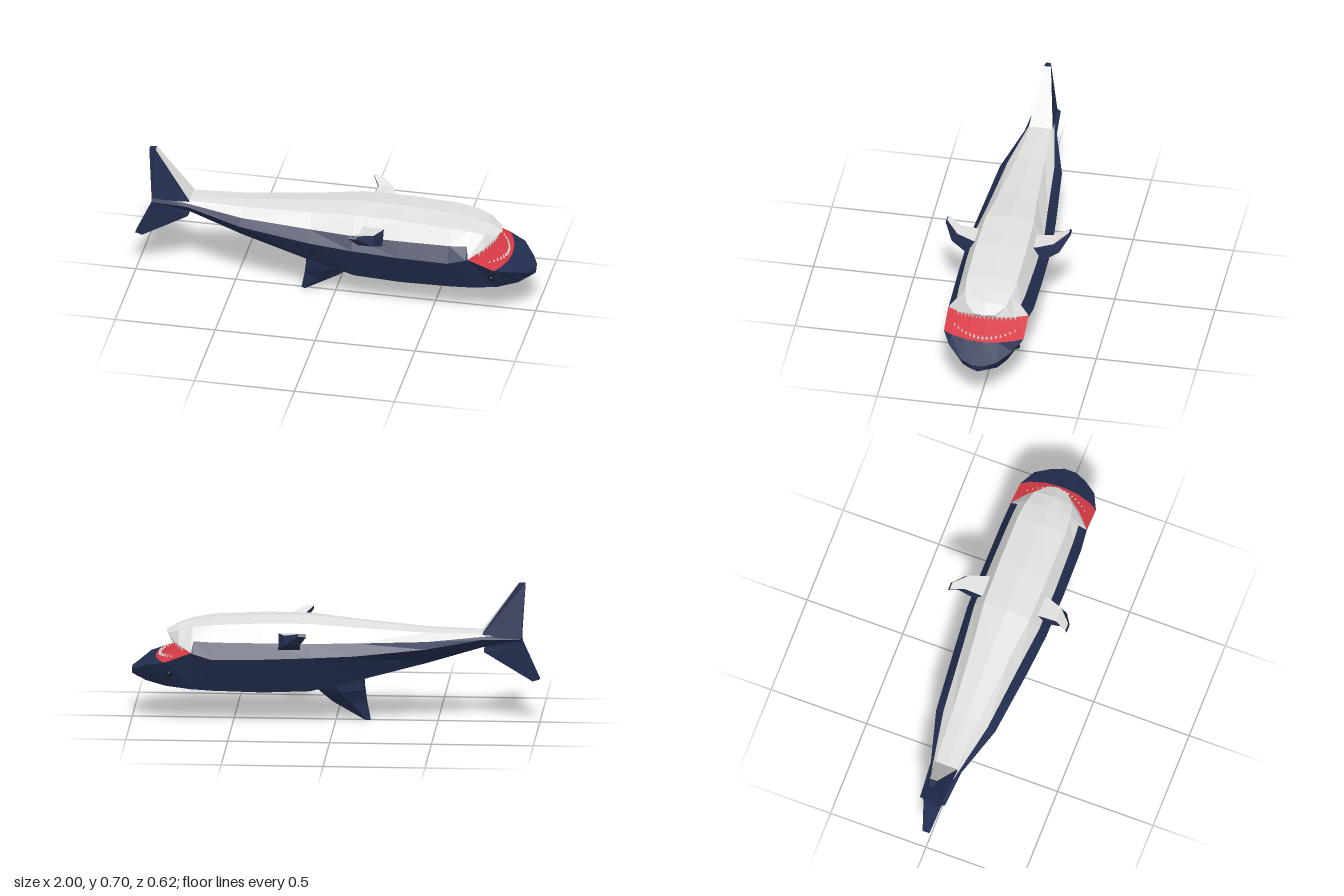
import * as THREE from 'three';

const mat = (name, color) => {
  const m = new THREE.MeshStandardMaterial({ color, flatShading: true, side: THREE.DoubleSide });
  m.name = name;
  return m;
};

// Mirror a half row (+z to the middle) across z = 0
const mirror = (half) => [
  ...half,
  ...half.filter((p) => p[2] !== 0).reverse().map(([x, y, z]) => [x, y, -z]),
];
const flipZ = (rows) => rows.map((r) => r.map(([x, y, z]) => [x, y, -z]));

// Skin rows of points with flat facets; faces point away from `inside`
function loft(rows, { closed = false, caps = false, inside } = {}) {
  const tris = [];
  const n = rows[0].length;
  for (let i = 0; i < rows.length - 1; i++) {
    for (let j = 0; j < (closed ? n : n - 1); j++) {
      const k = (j + 1) % n;
      const a = rows[i][j], b = rows[i][k], c = rows[i + 1][k], d = rows[i + 1][j];
      tris.push([a, b, c], [a, c, d]);
    }
  }
  if (caps) {
    const first = rows[0], last = rows[rows.length - 1];
    for (let j = 1; j < n - 1; j++) {
      tris.push([first[0], first[j + 1], first[j]], [last[0], last[j], last[j + 1]]);
    }
  }
  const all = rows.flat();
  const ref = new THREE.Vector3(...(inside || [0, 1, 2].map((i) => all.reduce((s, p) => s + p[i], 0) / all.length)));
  let sum = 0;
  for (const t of tris) {
    const [a, b, c] = t.map((p) => new THREE.Vector3(...p));
    const normal = b.clone().sub(a).cross(c.clone().sub(a));
    sum += normal.dot(a.add(b).add(c).divideScalar(3).sub(ref));
  }
  if (sum < 0) tris.forEach((t) => t.reverse());
  const geo = new THREE.BufferGeometry();
  geo.setAttribute('position', new THREE.Float32BufferAttribute(tris.flat(2), 3));
  geo.computeVertexNormals();
  return geo;
}

export function createModel() {
  const group = new THREE.Group();
  group.name = 'shark';
  const navy = mat('navy skin', 0x232e50);
  const white = mat('pale skin', 0xe0e0de);
  const red = mat('mouth red', 0xd63a45);
  const black = mat('eye black', 0x0c0f1a);
  const add = (name, geo, material) => {
    const m = new THREE.Mesh(geo, material);
    m.name = name;
    group.add(m);
    return m;
  };

  // Body rings: x, top y, shoulder z/y, widest z/y, lower z/y, bottom y, share of the flank that is pale
  const rings = [
    [-0.91, 0.455, 0.03, 0.452, 0.065, 0.43, 0.03, 0.405, 0.4, 0.1],
    [-0.72, 0.458, 0.055, 0.455, 0.08, 0.43, 0.04, 0.385, 0.375, 0.5],
    [-0.45, 0.468, 0.07, 0.46, 0.155, 0.395, 0.08, 0.31, 0.293, 0.55],
    [-0.1, 0.502, 0.097, 0.487, 0.19, 0.363, 0.11, 0.22, 0.2, 0.55],
    [0.12, 0.524, 0.12, 0.508, 0.208, 0.355, 0.125, 0.17, 0.148, 0.58],
    [0.35, 0.522, 0.125, 0.508, 0.21, 0.345, 0.125, 0.16, 0.13, 0.55],
    [0.6, 0.506, 0.125, 0.495, 0.207, 0.34, 0.125, 0.165, 0.14, 0.5],
    [0.69, 0.492, 0.117, 0.482, 0.2, 0.365, 0.125, 0.17, 0.147, 0.52],
    [0.7, 0.49, 0.115, 0.48, 0.2, 0.37, 0.125, 0.17, 0.147, 1],
  ];
  const pale = [], dark = [];
  for (const [x, top, sz, sy, wz, wy, lz, ly, bot, t] of rings) {
    const edge = [x, sy + (wy - sy) * t, sz + (wz - sz) * t];
    pale.push(mirror([edge, [x, sy, sz], [x, top, 0]]));
    dark.push(mirror([edge, [x, wy, wz], [x, ly, lz], [x, bot, 0]]));
  }
  add('paleBelly', loft(pale, { inside: [0, 0.34, 0] }), white);
  add('darkBack', loft(dark, { inside: [0, 0.4, 0] }), navy);
  add('tailStockEnd', loft([dark[0], dark[0].map(() => [-0.915, 0.43, 0])],
    { closed: true, inside: [-0.8, 0.43, 0] }), navy);

  // Pale jaw
  const jaw = [
    pale[pale.length - 1],
    mirror([[0.765, 0.397, 0.135], [0.765, 0.46, 0.1], [0.77, 0.474, 0]]),
    mirror([[0.812, 0.421, 0.065], [0.823, 0.438, 0.05], [0.834, 0.44, 0]]),
    mirror([[0.812, 0.421, 0.065], [0.815, 0.423, 0.04], [0.826, 0.428, 0]]),
  ];
  add('jaw', loft(jaw, { inside: [0.7, 0.4, 0] }), white);

  // Dark snout: side rows, then the top between mouth rim and outer edge
  const snout = [
    mirror([[0.7, 0.37, 0.2], [0.7, 0.17, 0.125], [0.7, 0.147, 0]]),
    mirror([[0.83, 0.32, 0.198], [0.83, 0.185, 0.118], [0.83, 0.165, 0]]),
    mirror([[0.915, 0.3, 0.157], [0.93, 0.205, 0.085], [0.93, 0.188, 0]]),
    mirror([[0.972, 0.264, 0.09], [0.972, 0.222, 0.055], [0.972, 0.203, 0]]),
    mirror([[1, 0.254, 0.03], [1, 0.228, 0.02], [1, 0.22, 0]]),
  ];
  add('snout', loft(snout, { caps: true, inside: [0.82, 0.26, 0] }), navy);
  const half = [[0.83, 0.32, 0.198], [0.855, 0.32, 0.155], [0.878, 0.317, 0.08], [0.885, 0.315, 0.001]];
  const outer = [1, 2, 3, 4].map((i) => snout[i][0]);
  add('snoutTop', loft([mirror(half), mirror(outer)], { inside: [0.9, 0, 0] }), navy);

  // Mouth lining
  const back = (zs) => mirror(zs.map((z) => [0.7, 0.385 - 0.075 * z, z]));
  add('mouthFloor', loft([back([0.2, 0.14, 0.07, 0.001]), mirror(half)], { inside: [0.8, 0, 0] }), red);
  const roofRim = mirror([[0.7, 0.37, 0.2], [0.765, 0.397, 0.135], [0.812, 0.421, 0.065], [0.826, 0.428, 0]]);
  add('mouthRoof', loft([back([0.2, 0.13, 0.06, 0]), roofRim], { inside: [0.75, 1, 0] }), red);

  // Teeth on both jaws
  const tooth = new THREE.ConeGeometry(0.008, 0.026, 4);
  for (let i = -7; i <= 7; i++) {
    const s = i / 7;
    const down = add('jawTooth', tooth, white);
    down.position.set(0.812 - 0.065 * s * s, 0.41 - 0.034 * s * s, 0.142 * s);
    down.rotation.x = Math.PI;
    add('snoutTooth', tooth, white).position.set(0.865 - 0.065 * s * s, 0.33 + 0.01 * s * s, 0.15 * s);
  }

  // Eyes
  for (const side of [1, -1]) {
    add('eye', new THREE.IcosahedronGeometry(0.014, 1), black).position.set(0.81, 0.258, side * 0.163);
  }

  // Tail lobes, as four-cornered sections from lead edge to trailing edge
  const quad = (lx, ly, lw, tx, ty, tw) => [[lx, ly, lw], [lx, ly, -lw], [tx, ty, -tw], [tx, ty, tw]];
  const upper = [quad(-0.72, 0.45, 0.06, -0.91, 0.42, 0.05), quad(-0.9, 0.7, 0.018, -0.93, 0.7, 0.012)];
  add('upperTailLobe', loft(upper, { closed: true, caps: true }), navy);
  add('upperTailFront', loft(upper.map((r) => r.slice(0, 2).map(([x, y, z]) => [x + 0.003, y + 0.002, z])),
    { inside: [-0.95, 0.4, 0] }), white);
  const lower = [quad(-0.73, 0.38, 0.045, -0.91, 0.43, 0.05), quad(-0.73, 0.36, 0.045, -0.915, 0.4, 0.045),
    quad(-0.965, 0.21, 0.018, -1, 0.22, 0.018)];
  add('lowerTailLobe', loft(lower, { closed: true, caps: true }), navy);

  // Main fin with a ridged lead edge
  const ridge = (y, lead, mid, trail, w) => [[lead, y, 0], [mid, y, w], [trail, y, w * 0.5], [trail, y, -w * 0.5], [mid, y, -w]];
  add('mainFin', loft([
    ridge(0.22, 0.14, 0, -0.135, 0.11), ridge(0.16, 0.1, -0.02, -0.14, 0.095),
    ridge(0.09, 0.015, -0.08, -0.152, 0.04), ridge(0.002, -0.14, -0.15, -0.17, 0.014),
  ], { closed: true, caps: true }), navy);

  // Side fins: dark block with a pale thin upper face
  const section = (x0, x1, topY, topZ, lowY, lowZ) => [[x0, topY, topZ], [x1, topY, topZ], [x1, lowY, lowZ], [x0, lowY, lowZ]];
  const fin = [
    section(0.165, 0.27, 0.462, 0.12, 0.385, 0.175),
    section(0.165, 0.272, 0.464, 0.155, 0.392, 0.19),
    section(0.165, 0.24, 0.474, 0.24, 0.43, 0.268),
    section(0.127, 0.168, 0.498, 0.303, 0.486, 0.311),
  ];
  const finTop = fin.map((r) => r.slice(0, 2).map(([x, y, z]) => [x, y + 0.002, z]));
  for (const flip of [false, true]) {
    const turn = flip ? flipZ : (r) => r;
    add('sideFin', loft(turn(fin), { closed: true, caps: true }), navy);
    add('sideFinTop', loft(turn(finTop), { inside: [0.2, 0, 0] }), white);
  }
  return group;
}
